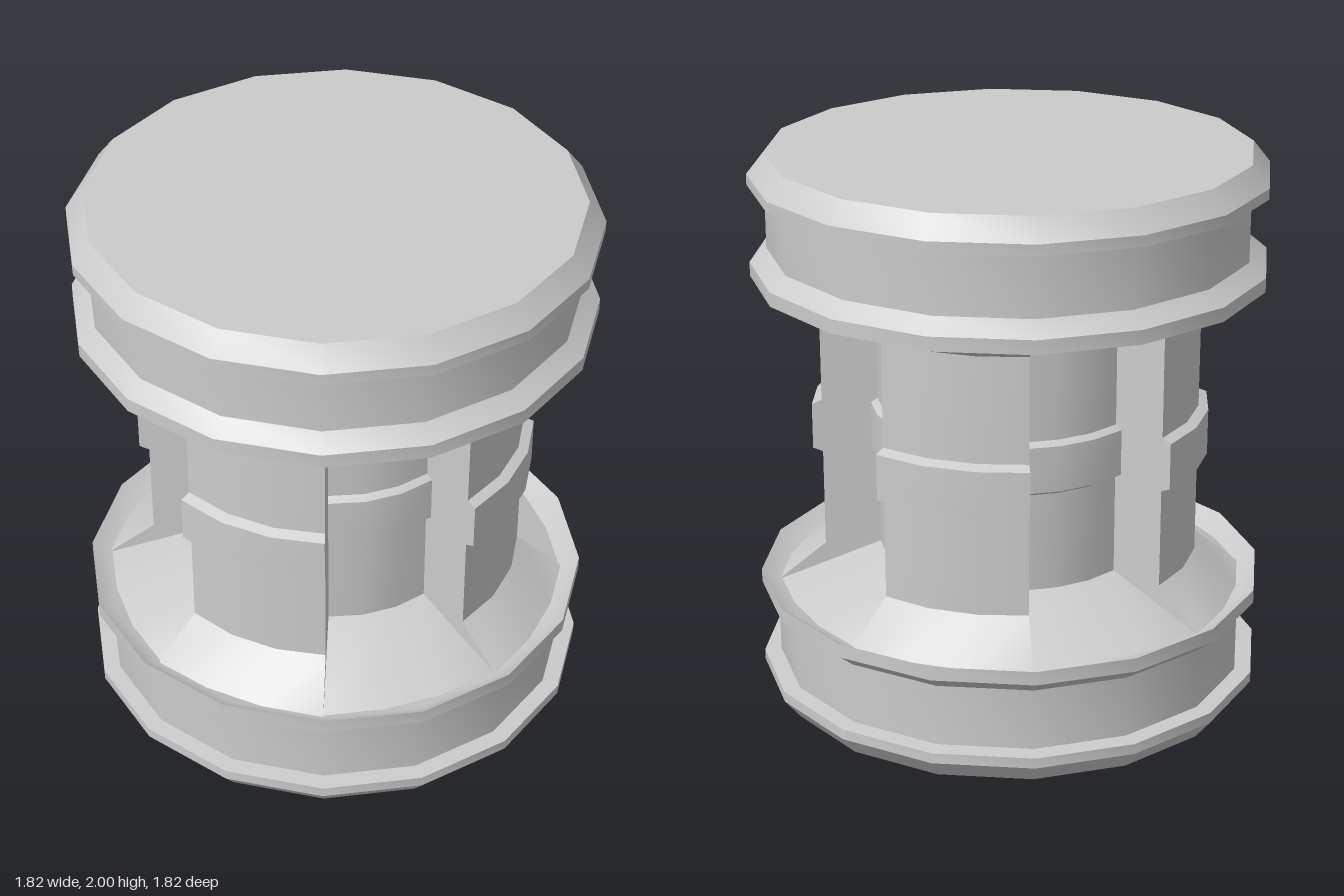
import * as THREE from 'three';
import { toCreasedNormals } from 'three/addons/utils/BufferGeometryUtils.js';

const LOBES = 4, STEPS = 3, OUTER = 0.675, INNER = 0.475;
const FLARE = 0.85, CAP_SIDES = 16;

// Pinwheel outline: eighth-turn lobes alternating with eighth-turn recesses
function pinwheel() {
  const points = [];
  for (let k = 0; k < LOBES * 2; k++) {
    for (let i = 0; i <= STEPS; i++) {
      points.push({ a: (k + i / STEPS) * Math.PI / LOBES, r: k % 2 ? INNER : OUTER });
    }
  }
  return points;
}

// Radius of the cap polygon in a given direction
function polygonRadius(angle, radius) {
  const step = 2 * Math.PI / CAP_SIDES;
  const local = angle - Math.floor(angle / step + 1e-6) * step - step / 2;
  return radius * Math.cos(step / 2) / Math.cos(local);
}

// Skin through pinwheel rings; each ring has a height and a radius rule
function loft(rings) {
  const outline = pinwheel(), n = outline.length;
  const pos = [], index = [];
  for (const [y, radius] of rings) {
    for (const p of outline) {
      const r = radius(p);
      pos.push(r * Math.sin(p.a), y, r * Math.cos(p.a));
    }
  }
  for (let j = 0; j < rings.length - 1; j++) {
    for (let i = 0; i < n; i++) {
      const a = j * n + i, b = j * n + (i + 1) % n;
      index.push(a, b, b + n, a, b + n, a + n);
    }
  }
  const geo = new THREE.BufferGeometry();
  geo.setAttribute('position', new THREE.Float32BufferAttribute(pos, 3));
  geo.setIndex(index);
  return geo;
}

export function createModel() {
  const group = new THREE.Group();
  const material = new THREE.MeshStandardMaterial({ color: 0xcccccc, side: THREE.DoubleSide });
  const add = (name, geo) => {
    geo.deleteAttribute('normal');
    const mesh = new THREE.Mesh(toCreasedNormals(geo, 0.6), material);
    mesh.name = name;
    group.add(mesh);
  };

  // End caps: two raised rims around a drum
  const profile = [
    [0, 0], [0.85, 0], [0.91, 0.075], [0.91, 0.113], [0.85, 0.117],
    [0.85, 0.34], [0.91, 0.39], [0.91, 0.44], [0.85, 0.4], [0, 0.4],
  ];
  const lower = profile.map(([r, y]) => new THREE.Vector2(r, y));
  const upper = profile.map(([r, y]) => new THREE.Vector2(r, 2 - y)).reverse();
  add('bottomCap', new THREE.LatheGeometry(lower, CAP_SIDES));
  add('topCap', new THREE.LatheGeometry(upper, CAP_SIDES));

  // Lobed column flaring into both caps
  const body = p => p.r;
  const flare = p => polygonRadius(p.a, FLARE);
  add('bottomFlare', loft([[0.395, flare], [0.535, body]]));
  add('column', loft([[0.535, body], [1.47, body]]));
  add('topFlare', loft([[1.47, body], [1.605, flare]]));

  // Raised band following the column outline
  const band = p => p.r * 1.052;
  add('middleBand', loft([[0.893, body], [0.908, band], [1.075, band], [1.09, body]]));

  return group;
}
